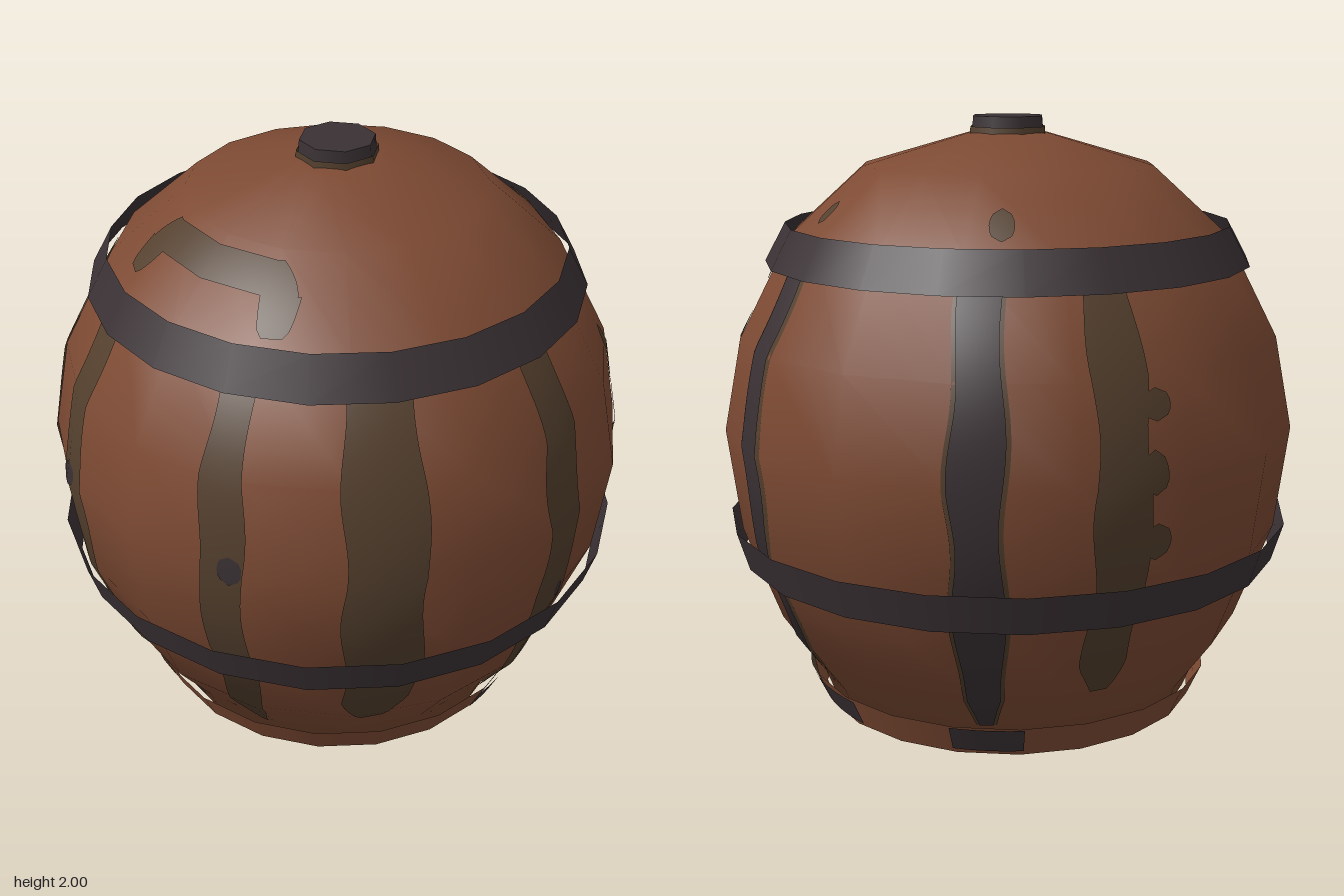
import * as THREE from 'three';

const SIDES = 16;
const mat = (name, color, side = THREE.FrontSide) => {
  const m = new THREE.MeshStandardMaterial({ color, side });
  m.name = name;
  return m;
};

// Barrel outline as [radius, height], from bottom to top
const PROFILE = [
  [0.63, 0.01], [0.67, 0.11], [0.8, 0.29], [0.925, 0.62], [0.97, 0.97],
  [0.91, 1.28], [0.735, 1.62], [0.49, 1.84], [0.13, 1.945], [0, 1.965],
];

// Distance from the axis to the faceted body at a given angle and height
function bodyRadius(angle, y) {
  let i = 0;
  while (i < PROFILE.length - 2 && PROFILE[i + 1][1] < y) i++;
  const [r0, y0] = PROFILE[i], [r1, y1] = PROFILE[i + 1];
  const r = r0 + (r1 - r0) * (y - y0) / (y1 - y0);
  const step = 2 * Math.PI / SIDES;
  const local = angle - step * (Math.floor(angle / step) + 0.5);
  return r * Math.cos(step / 2) / Math.cos(local);
}

// Round, smooth normals shared by the body and the paint on it
function roundNormals(geo) {
  const p = geo.attributes.position, n = [];
  const v = new THREE.Vector3();
  for (let i = 0; i < p.count; i++) {
    v.fromBufferAttribute(p, i);
    v.y -= 0.97;
    v.normalize();
    n.push(v.x, v.y, v.z);
  }
  geo.setAttribute('normal', new THREE.Float32BufferAttribute(n, 3));
  return geo;
}

// Thin patch lying on the body; edges(y, t) gives its two angles in degrees
function patchGeometry(y0, y1, edges, cols = 5, lift = 0.006) {
  const rows = Math.max(6, Math.ceil((y1 - y0) / 0.03));
  const pos = [], idx = [];
  for (let j = 0; j <= rows; j++) {
    const t = j / rows, y = y0 + (y1 - y0) * t;
    const [a0, a1] = edges(y, t);
    for (let i = 0; i <= cols; i++) {
      const a = THREE.MathUtils.degToRad(a0 + (a1 - a0) * i / cols);
      const r = bodyRadius(a, y) + lift;
      const up = y > 1.62 ? lift : 0;
      pos.push(r * Math.sin(a), y + up, r * Math.cos(a));
      if (i < cols && j < rows) {
        const k = j * (cols + 1) + i, u = k + cols + 1;
        idx.push(k, k + 1, u, k + 1, u + 1, u);
      }
    }
  }
  const geo = new THREE.BufferGeometry();
  geo.setAttribute('position', new THREE.Float32BufferAttribute(pos, 3));
  geo.setIndex(idx);
  return roundNormals(geo);
}

export function createModel() {
  const wood = mat('brown wood', 0x7d4a33);
  const woodOpen = mat('brown rim wood', 0x7d4a33, THREE.DoubleSide);
  const moss = mat('olive stave', 0x533f2d, THREE.DoubleSide);
  const iron = mat('dark iron', 0x3a3134, THREE.DoubleSide);

  const group = new THREE.Group();
  group.name = 'barrel';
  const add = (name, geo, material, y = 0) => {
    const mesh = new THREE.Mesh(geo, material);
    mesh.name = name;
    mesh.position.y = y;
    group.add(mesh);
    return mesh;
  };

  // Round body and flat bottom
  const outline = PROFILE.map(([r, y]) => new THREE.Vector2(r, y));
  add('body', roundNormals(new THREE.LatheGeometry(outline, SIDES)), wood);
  add('bottom', new THREE.CircleGeometry(0.65, 20).rotateX(Math.PI / 2), wood, 0.003);

  // Slanted open hoops
  const hoop = (name, rTop, rBottom, y0, y1, material) =>
    add(name, new THREE.CylinderGeometry(rTop, rBottom, y1 - y0, 20, 1, true), material, (y0 + y1) / 2);
  hoop('upperHoop', 0.75, 0.82, 1.52, 1.65, iron);
  hoop('middleHoop', 0.965, 0.925, 0.52, 0.65, iron);
  hoop('footRim', 0.7, 0.65, 0, 0.11, woodOpen);

  // Stained arcs on the foot rim: centre angle, width, material
  for (const [c, w, m] of [[-34, 26, moss], [93, 12, iron], [153, 26, iron], [-153, 20, iron], [128, 16, moss]]) {
    const arc = new THREE.CylinderGeometry(0.705, 0.662, 0.09, 6, 1, true,
      THREE.MathUtils.degToRad(c - w / 2), THREE.MathUtils.degToRad(w));
    add('rimStain', arc, m, 0.063);
  }

  // Upright staves with wavy edges: centre angle, half width, bottom, top, material
  const staves = [
    [-51.5, 7.5, 0.2, 1.59, moss], [-23, 4.6, 0.11, 1.6, moss],
    [20, 4.5, 0.11, 1.6, moss], [51, 7.8, 0.26, 1.59, moss],
    [91, 5, 0.11, 1.6, moss], [-126, 5.5, 0.25, 1.59, moss],
    [153, 4.6, 0.11, 1.6, iron], [-153, 4.6, 0.11, 1.6, iron],
  ];
  for (const [c, w, y0, y1, m] of staves) {
    const stave = (grow, lift) => patchGeometry(y0, y1, (y, t) => {
      const end = Math.min(1, 0.35 + t * 8);
      const a = w * end + grow;
      return [c - a + 0.7 * Math.sin(y * 13 + c), c + a + 0.7 * Math.sin(y * 11 + c * 2)];
    }, 6, lift);
    add('stave', stave(0, 0.007), m);
    if (m === iron) add('staveBorder', stave(0.9, 0.003), moss);
  }

  // Oval marks: angle, height, half angle, half height, material
  const ovals = [
    [-23, 1, 2.5, 0.045, iron], [22.3, 0.99, 2.4, 0.05, iron],
    [93, 0.66, 1.5, 0.03, iron], [93, 0.13, 2.2, 0.025, iron],
    [128, 1.25, 2.2, 0.11, moss], [129, 1.05, 1, 0.1, moss], [130, 0.84, 2, 0.12, moss],
    [128, 0.5, 2.5, 0.07, moss], [128, 0.36, 1.5, 0.06, moss], [128, 1.5, 2, 0.04, moss],
    [-119, 0.78, 3, 0.06, moss], [-119, 1.2, 3, 0.05, moss], [-120, 1, 2.5, 0.07, moss],
    [150, 1.7, 2.6, 0.035, moss], [-149, 1.7, 3.5, 0.045, moss],
    [-10, 0.13, 4, 0.02, iron], [-2, 0.125, 2, 0.015, iron],
  ];
  for (const [c, y, w, h, m] of ovals) {
    add('mark', patchGeometry(y - h, y + h, (_, t) => {
      const a = w * Math.sqrt(Math.max(0, 1 - (2 * t - 1) ** 2));
      return [c - a, c + a];
    }, 4, 0.009), m);
  }

  // Curved stain on the front shoulder with two drooping ends
  add('shoulderStain', patchGeometry(1.735, 1.815, (_, t) => {
    const a = 31 - 6 * t * t;
    return [-a, a];
  }, 20), moss);
  for (const [c, y] of [[-26, 1.665], [26, 1.65]]) {
    add('shoulderStainEnd', patchGeometry(y, 1.74, (_, t) => {
      const a = 2.5 + 3.5 * Math.sqrt(t);
      return [c - a, c + a];
    }, 5), moss);
  }

  // Bung on top, with a stained foot
  add('bung', new THREE.CylinderGeometry(0.123, 0.131, 0.09, 8), iron, 1.955).rotation.y = 0.15;
  add('bungFoot', new THREE.CylinderGeometry(0.133, 0.136, 0.03, 8, 1, true), moss, 1.95).rotation.y = 0.15;

  return group;
}
